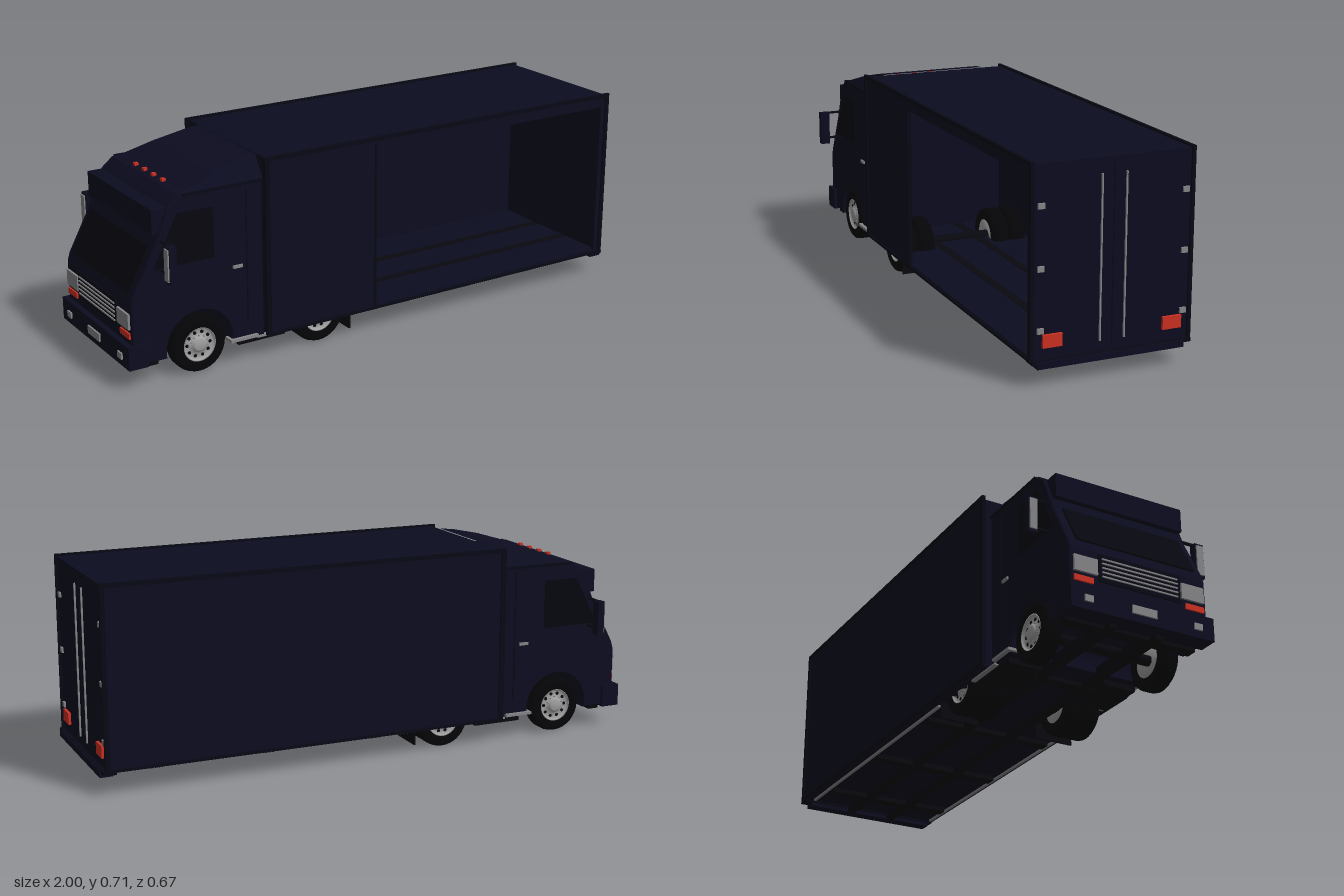
import * as THREE from 'three';

const mat = (name, color, side = THREE.FrontSide) => {
  const m = new THREE.MeshStandardMaterial({ color, side });
  m.name = name;
  return m;
};

export function createModel() {
  const navy = mat('navyPaint', 0x0c0c20);
  const trim = mat('darkTrim', 0x070814);
  const glass = mat('darkGlass', 0x06070f);
  const black = mat('chassisBlack', 0x08080f);
  const rubber = mat('tyreRubber', 0x050508);
  const grey = mat('metalGrey', 0x858588);
  const chrome = mat('wheelSilver', 0xa0a0a0);
  const red = mat('lampRed', 0xcc3022);

  const truck = new THREE.Group();
  truck.name = 'boxTruck';

  const add = (name, geo, m, parent = truck) => {
    const mesh = new THREE.Mesh(geo, m);
    mesh.name = name;
    parent.add(mesh);
    return mesh;
  };
  // box given by its minimum and maximum on each axis
  const box = (name, m, x0, x1, y0, y1, z0, z1, parent = truck) => {
    const mesh = add(name, new THREE.BoxGeometry(x1 - x0, y1 - y0, z1 - z0), m, parent);
    mesh.position.set((x0 + x1) / 2, (y0 + y1) / 2, (z0 + z1) / 2);
    return mesh;
  };
  // same box on both sides of the truck
  const pair = (name, m, x0, x1, y0, y1, z0, z1) => {
    box(name + 'Left', m, x0, x1, y0, y1, z0, z1);
    box(name + 'Right', m, x0, x1, y0, y1, -z1, -z0);
  };

  // Cab body: side profile with wheel arches
  const WX = -0.73, WY = 0.104;
  const s = new THREE.Shape();
  s.moveTo(WX + 0.12, 0.08);
  [[-0.485, 0.08], [-0.485, 0.633], [-0.79, 0.633], [-0.83, 0.6], [-0.885, 0.47], [-0.965, 0.32],
    [-0.974, 0.29], [-0.974, 0.08], [WX - 0.12, 0.08], [WX - 0.12, WY]].forEach(p => s.lineTo(...p));
  s.absarc(WX, WY, 0.12, Math.PI, 0, true);
  s.closePath();
  const cabGeo = new THREE.ExtrudeGeometry(s, { depth: 0.49, bevelEnabled: true, bevelSize: 0.004, bevelOffset: -0.004, bevelThickness: 0.006, bevelSegments: 1, curveSegments: 24 });
  cabGeo.translate(0, 0, -0.245);
  add('cabBody', cabGeo, navy);

  // Roof fairing: loft rising to the cargo box
  const stations = [[-0.79, 0.633, 0.245], [-0.757, 0.64, 0.235], [-0.645, 0.675, 0.215], [-0.527, 0.702, 0.2], [-0.48, 0.706, 0.2]];
  const rings = stations.map(([x, y, w]) => [[x, 0.63, 0.248], [x, y, w], [x, y, -w], [x, 0.63, -0.248]]);
  const verts = [];
  for (let i = 0; i < rings.length - 1; i++) {
    for (let j = 0; j < 3; j++) {
      const a = rings[i][j], b = rings[i + 1][j], c = rings[i + 1][j + 1], d = rings[i][j + 1];
      verts.push(...a, ...b, ...c, ...a, ...c, ...d);
    }
  }
  const fairGeo = new THREE.BufferGeometry();
  fairGeo.setAttribute('position', new THREE.Float32BufferAttribute(verts, 3));
  fairGeo.computeVertexNormals();
  add('roofFairing', fairGeo, navy);

  // Sun visor, windscreen and side windows
  box('sunVisor', navy, -0.885, -0.8, 0.515, 0.598, -0.24, 0.24);
  const screen = add('windscreen', new THREE.BoxGeometry(0.009, 0.165, 0.44), glass);
  screen.position.set(-0.926, 0.397, 0);
  screen.rotation.z = -Math.atan2(0.08, 0.15);
  const win = new THREE.Shape([[-0.89, 0.4], [-0.67, 0.4], [-0.67, 0.575], [-0.8, 0.575]].map(p => new THREE.Vector2(...p)));
  const winGeo = new THREE.ExtrudeGeometry(win, { depth: 0.006, bevelEnabled: false });
  [0.248, -0.254].forEach(z => { add('sideWindow', winGeo, glass).position.z = z; });

  // Door seams, handles and roof gutter
  pair('doorSeam', trim, -0.55, -0.546, 0.14, 0.62, 0.249, 0.253);
  pair('doorHandle', grey, -0.602, -0.567, 0.345, 0.355, 0.25, 0.258);
  pair('roofGutter', trim, -0.78, -0.485, 0.628, 0.636, 0.246, 0.255);

  // Roof marker lamps
  [-0.1, -0.033, 0.033, 0.1].forEach(z => box('roofMarker', red, -0.777, -0.763, 0.63, 0.646, z - 0.008, z + 0.008));

  // Grille, headlights and front bumper
  box('grillePanel', trim, -0.98, -0.973, 0.19, 0.285, -0.15, 0.15);
  for (let i = 0; i < 5; i++) {
    const y = 0.205 + i * 0.015;
    box('grilleBar', grey, -0.984, -0.976, y, y + 0.005, -0.14, 0.14);
  }
  pair('headlight', grey, -0.982, -0.972, 0.208, 0.262, 0.155, 0.24);
  pair('indicator', red, -0.98, -0.972, 0.175, 0.195, 0.17, 0.24);
  box('frontBumper', navy, -0.994, -0.925, 0.075, 0.155, -0.262, 0.262);
  pair('fogLamp', grey, -1, -0.993, 0.1, 0.122, 0.185, 0.215);
  box('frontPlate', grey, -1, -0.993, 0.1, 0.128, -0.045, 0.045);

  // Wing mirrors on two arms
  pair('mirrorArmUpper', trim, -0.864, -0.854, 0.49, 0.497, 0.24, 0.31);
  pair('mirrorArmLower', trim, -0.864, -0.854, 0.389, 0.396, 0.24, 0.31);
  pair('mirrorHousing', navy, -0.872, -0.846, 0.371, 0.496, 0.3, 0.334);
  pair('mirrorGlass', grey, -0.877, -0.871, 0.38, 0.488, 0.304, 0.33);

  // Cargo box: hollow, with a long open bay on the +z side
  const B = -0.475, E = 0.98, ZF = 0.27, ZB = -0.28;
  box('cargoFloor', navy, B, E, 0.083, 0.098, ZB, ZF);
  box('cargoRoof', navy, B, E, 0.69, 0.705, ZB, ZF);
  box('cargoFrontWall', navy, B, B + 0.015, 0.09, 0.7, ZB, ZF);
  box('cargoRearWall', navy, E - 0.015, E, 0.09, 0.704, ZB, ZF);
  box('cargoRightWall', navy, B, E, 0.09, 0.7, ZB, ZB + 0.012);
  box('cargoLeftWall', navy, B, -0.05, 0.09, 0.7, ZF - 0.012, ZF);
  box('bayHeader', navy, -0.05, E, 0.662, 0.7, ZF - 0.012, ZF);
  box('bayRearPost', navy, 0.955, E, 0.09, 0.7, ZF - 0.012, ZF);
  box('bayFrontPost', trim, -0.054, -0.046, 0.09, 0.69, ZF - 0.012, ZF + 0.003);
  [[ZF - 0.006, 0.276], [-0.286, ZB + 0.006]].forEach(([z0, z1]) => {
    box('roofRail', trim, -0.488, 0.988, 0.698, 0.712, z0, z1);
    box('frontCornerPost', trim, -0.488, -0.47, 0.085, 0.71, z0, z1);
    box('rearCornerPost', trim, 0.972, 0.988, 0.085, 0.71, z0, z1);
    box('lowerRail', trim, -0.48, 0.985, 0.083, 0.093, z0, z1);
  });

  // Rear doors: lock rods, hinges and tail lamps
  [0.035, -0.049].forEach(z => box('lockRod', grey, 0.979, 0.986, 0.12, 0.655, z - 0.0025, z + 0.0025));
  box('doorGap', trim, 0.979, 0.982, 0.1, 0.7, -0.009, -0.006);
  [0.239, -0.257].forEach(z => [0.575, 0.378, 0.18].forEach(y =>
    box('doorHinge', grey, 0.979, 0.987, y - 0.009, y + 0.009, z - 0.011, z + 0.011)));
  [0.199, -0.217].forEach(z => box('tailLamp', red, 0.979, 0.99, 0.125, 0.167, z - 0.033, z + 0.033));

  // Chassis: rails, cross members, rear bumper, side rails and steps
  pair('frameRail', black, -0.95, 0.96, 0.062, 0.1, 0.07, 0.1);
  [-0.9, -0.5, 0, 0.4, 0.8].forEach(x => box('crossMember', black, x - 0.02, x + 0.02, 0.066, 0.09, -0.24, 0.24));
  box('rearBumper', navy, 0.955, 1, 0.062, 0.085, -0.255, 0.255);
  box('bumperStep', trim, 0.95, 0.995, 0.075, 0.088, -0.284, 0.27);
  pair('sideRail', grey, -0.13, 0.93, 0.073, 0.08, 0.248, 0.258);
  pair('cabStep', grey, -0.62, -0.515, 0.084, 0.094, 0.22, 0.264);
  pair('stepRail', grey, -0.515, -0.36, 0.076, 0.083, 0.24, 0.255);
  pair('fuelTank', black, -0.58, -0.4, 0.06, 0.084, 0.12, 0.24);
  pair('mudFlap', black, -0.15, -0.144, 0.026, 0.085, 0.115, 0.258);

  // Wheels
  const lathe = pts => new THREE.LatheGeometry(pts.map(p => new THREE.Vector2(...p)), 32).rotateX(Math.PI / 2);
  const tyreGeo = lathe([[0.058, -0.03], [0.088, -0.032], [0.096, -0.026], [0.099, -0.016], [0.099, 0.016], [0.096, 0.026], [0.088, 0.032], [0.06, 0.03], [0.058, 0.015]]);
  const rimGeo = lathe([[0.0, -0.02], [0.059, -0.028], [0.061, 0.03], [0.056, 0.03], [0.053, 0.018], [0.03, 0.022], [0.026, 0.03], [0.018, 0.034], [0, 0.035]]);
  const holeGeo = new THREE.CylinderGeometry(0.006, 0.006, 0.004, 12).rotateX(Math.PI / 2);
  const nutGeo = new THREE.CylinderGeometry(0.0025, 0.0025, 0.008, 6).rotateX(Math.PI / 2);
  const wheel = (name, x, z) => {
    const g = new THREE.Group();
    g.name = name;
    add('tyre', tyreGeo, rubber, g);
    add('rim', rimGeo, chrome, g);
    for (let i = 0; i < 10; i++) {
      const a = i * Math.PI / 5;
      add('rimHole', holeGeo, black, g).position.set(0.043 * Math.cos(a), 0.043 * Math.sin(a), 0.0195);
      add('wheelNut', nutGeo, grey, g).position.set(0.03 * Math.cos(a + 0.3), 0.03 * Math.sin(a + 0.3), 0.023);
    }
    g.position.set(x, WY - 0.003, z);
    if (z < 0) g.rotation.y = Math.PI;
    truck.add(g);
  };
  [1, -1].forEach(k => {
    wheel('frontWheel', WX, k * 0.217);
    wheel('rearOuterWheel', -0.265, k * 0.217);
    wheel('rearInnerWheel', -0.265, k * 0.151);
  });
  [WX, -0.265].forEach(x => {
    const axle = add('axle', new THREE.CylinderGeometry(0.018, 0.018, 0.4, 12).rotateX(Math.PI / 2), black);
    axle.position.set(x, WY - 0.003, 0);
  });

  return truck;
}
